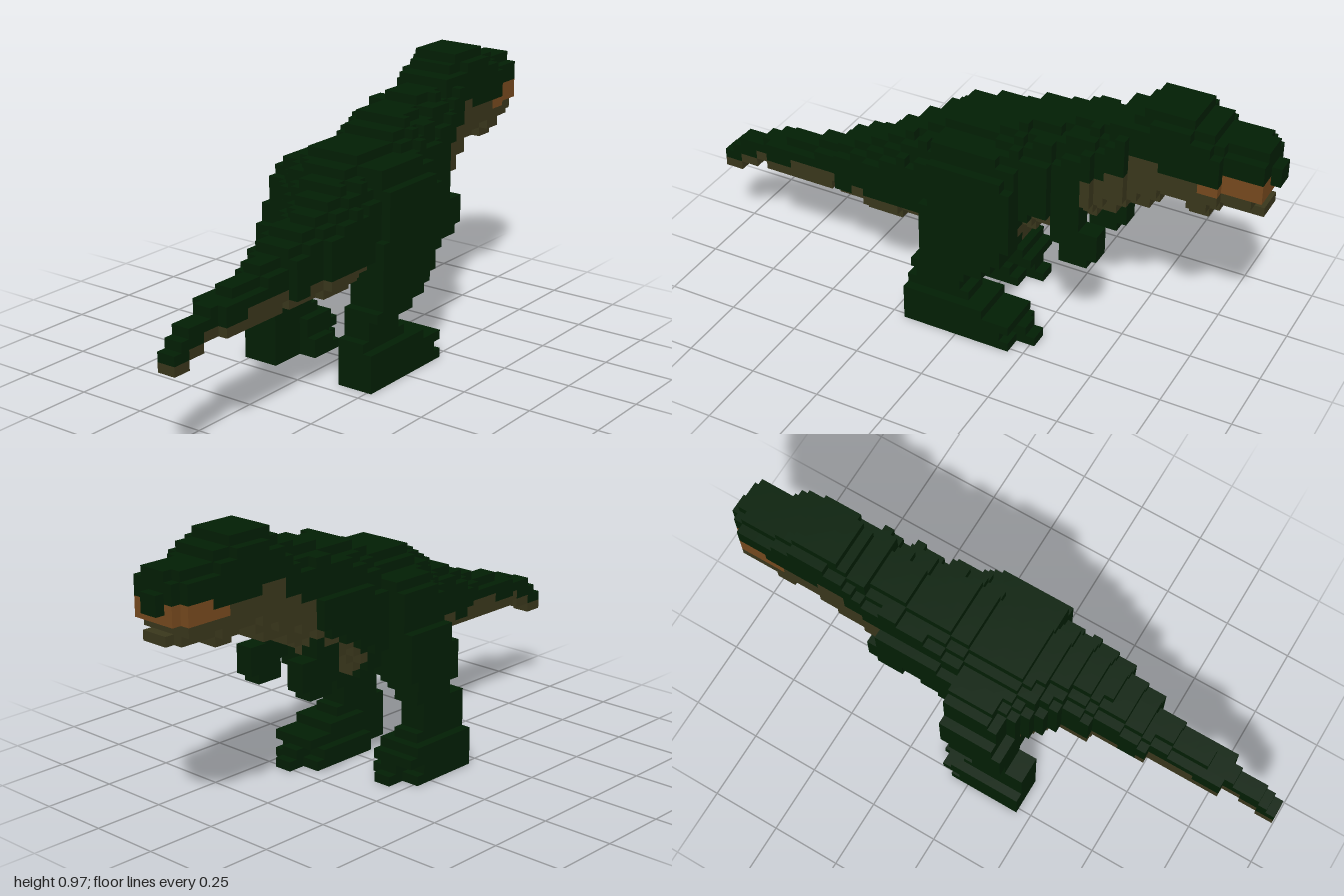
import * as THREE from 'three';

const U = 1 / 30; // size of one cube; everything below is counted in cubes

// Body outline as [z, value], tail tip to snout
const TOP = [[30, 11], [28, 12.3], [24, 14], [16, 16], [12, 18], [3, 22.5], [-3, 23.4], [-5, 24.4], [-14, 26.4],
  [-17, 28.5], [-22, 28.6], [-25, 27], [-29, 27], [-30, 23]];
const BOTTOM = [[30, 8.6], [25, 11], [-5, 11], [-6, 13], [-16, 18], [-18, 18], [-19, 20], [-21, 20], [-22, 19],
  [-24, 19], [-25, 20], [-29, 20], [-30, 26]];
const MINUS_X = [[30, 2], [24, 1.5], [12, -0.1], [7, -1], [5, -4], [3, -5], [-12, -5], [-13, -4], [-27.5, -4], [-30, -2]];
const PLUS_X = [[30, 4], [24, 4.5], [20, 4.6], [15, 5.5], [11, 6.5], [-4, 7], [-10, 5], [-14, 4.4], [-17, 3], [-24, 3],
  [-25, 2], [-29, 2], [-30, -2]];

// Leg outlines as [y, z]; the left foot stands further forward
const LEGS = [
  {
    name: 'leftLeg', side: 1, top: 22, shoulder: 20, thigh: 7,
    front: [[0, -8], [2, -6], [3.5, -1], [5, 0], [6, 0], [9, -4.5], [13, -6], [18, -6], [22, -4]],
    back: [[0, 6], [3, 6], [6, 5], [8, 4], [20, 3], [22, 2]],
  },
  {
    name: 'rightLeg', side: -1, top: 21, shoulder: 16, thigh: 10,
    front: [[0, -4], [2, -3], [3.5, -1], [5, 0], [7, 0], [11, -3], [21, -3]],
    back: [[0, 6], [7, 6], [8, 4], [10, 4], [16, 3], [21, 2]],
  },
];

// Arm blocks as [y0, y1, z0, z1]: upper arm, forearm, hand
const ARM = [[13, 18, -12, -9], [11, 14, -13, -10], [12, 15, -14, -12]];

// Whole-cube value of an outline at t
function at(outline, t) {
  for (let i = 1; i < outline.length; i++) {
    const [t0, v0] = outline[i - 1], [t1, v1] = outline[i];
    if ((t - t0) * (t - t1) <= 0) return Math.round(v0 + ((v1 - v0) * (t - t0)) / (t1 - t0));
  }
  return outline[outline.length - 1][1];
}

// Which part a body cube belongs to
function bodyPart(y, z, dx, bottom) {
  if (z < -23 && z > -29 && y > 22 && y < (z < -25 ? 24 : 23)) return 'mouth';
  if (z > 3) {
    const deep = z < 13 || (z > 15 && z < 21);
    return y < bottom + (deep ? 2 : 1) ? 'tailUnderside' : 'tail';
  }
  if (z > -12) return y < bottom + 2 && Math.abs(dx) < (z < -5 ? 5 : 3.5) ? 'belly' : 'torso';
  const throatTop = z > -14 ? 21 : z > -16 ? 22 : z > -19 ? 24 : z > -23 ? 23 : 22;
  return y < throatTop ? 'throatAndJaw' : 'head';
}

function fillCubes() {
  const cubes = new Map();
  const put = (x, y, z, part) => {
    const key = `${x},${y},${z}`;
    if (!cubes.has(key)) cubes.set(key, { x, y, z, part });
  };

  // Rounded body sections, flatter below than above, sloping off over the right shoulder
  for (let z = -30; z < 30; z++) {
    const [x0, x1, y0, y1] = [MINUS_X, PLUS_X, BOTTOM, TOP].map((outline) => at(outline, z + 0.5));
    const cx = (x0 + x1) / 2, cy = (y0 + y1) / 2;
    for (let x = x0; x < x1; x++)
      for (let y = y0; y < y1; y++) {
        if (x < -4 && y > 20) continue;
        const dx = x + 0.5 - cx, dy = y + 0.5 - cy;
        const p = dy < 0 || z < -14 || z > 23 ? 3 : 2.2;
        const r = Math.abs(dx / (x1 - cx)) ** p + Math.abs(dy / (y1 - cy)) ** p;
        if (r <= 1) put(x, y, z, bodyPart(y + 0.5, z + 0.5, dx, y0));
      }
  }

  // Legs: three-toed feet with a narrow heel, thin shins, broad thighs joining the hip
  for (const { name, side, top, shoulder, thigh, front, back } of LEGS)
    for (let y = 0; y < top; y++) {
      const inner = y < 2 ? 2 : y < 4 ? 3 : y > 13 ? 1 : side < 0 && y > 8 ? 3 : 4;
      const outer = y > 3 && y < thigh ? 7 : y < shoulder ? 8 : y < 20 || side > 0 ? 7 : 6;
      for (let x = inner; x < outer; x++) {
        const toeTrim = y < 2 && (x < 4 || x > 5) ? 2 : 0;
        const heelTrim = y < 4 && x < 4 ? 4 : 0;
        for (let z = at(front, y) + toeTrim; z < at(back, y) - heelTrim; z++)
          put(side > 0 ? x : -1 - x, y, z, name);
      }
    }

  // Arms
  for (const [name, x0] of [['leftArm', 3], ['rightArm', -4]])
    for (const [y0, y1, z0, z1] of ARM)
      for (let x = x0; x < x0 + 2; x++)
        for (let y = y0; y < y1; y++)
          for (let z = z0; z < z1; z++) put(x, y, z, name);

  // Slight gap between the lips at the tip of the jaw
  for (let x = -4; x < 3; x++) cubes.delete(`${x},21,-29`);
  return cubes;
}

// Outer faces of the cubes of one part
function partGeometry(cubes, part) {
  const pos = [], nor = [], idx = [];
  for (const c of cubes.values()) {
    if (c.part !== part) continue;
    for (let a = 0; a < 3; a++)
      for (const s of [1, -1]) {
        const n = [0, 0, 0];
        n[a] = s;
        if (cubes.has(`${c.x + n[0]},${c.y + n[1]},${c.z + n[2]}`)) continue;
        const b = (a + 1) % 3, d = (a + 2) % 3, base = pos.length / 3;
        for (const [u, v] of [[0, 0], [1, 0], [1, 1], [0, 1]]) {
          const q = [c.x, c.y, c.z];
          q[a] += s > 0 ? 1 : 0;
          q[b] += u;
          q[d] += v;
          pos.push(q[0] * U, q[1] * U, q[2] * U);
          nor.push(...n);
        }
        const order = s > 0 ? [0, 1, 2, 0, 2, 3] : [0, 2, 1, 0, 3, 2];
        idx.push(...order.map((i) => base + i));
      }
  }
  const g = new THREE.BufferGeometry();
  g.setAttribute('position', new THREE.Float32BufferAttribute(pos, 3));
  g.setAttribute('normal', new THREE.Float32BufferAttribute(nor, 3));
  g.setIndex(idx);
  return g;
}

export function createModel() {
  const material = (name, color) => {
    const m = new THREE.MeshStandardMaterial({ color });
    m.name = name;
    return m;
  };
  const green = material('dark green hide', 0x021f04);
  const khaki = material('khaki underside', 0x3a371c);
  const brown = material('brown mouth', 0x774a1e);
  const colours = { mouth: brown, tailUnderside: khaki, belly: khaki, throatAndJaw: khaki };

  const group = new THREE.Group();
  group.name = 'dinosaur';
  const cubes = fillCubes();
  const parts = new Set([...cubes.values()].map((cube) => cube.part));
  for (const part of parts) {
    const mesh = new THREE.Mesh(partGeometry(cubes, part), colours[part] || green);
    mesh.name = part;
    group.add(mesh);
  }
  return group;
}
